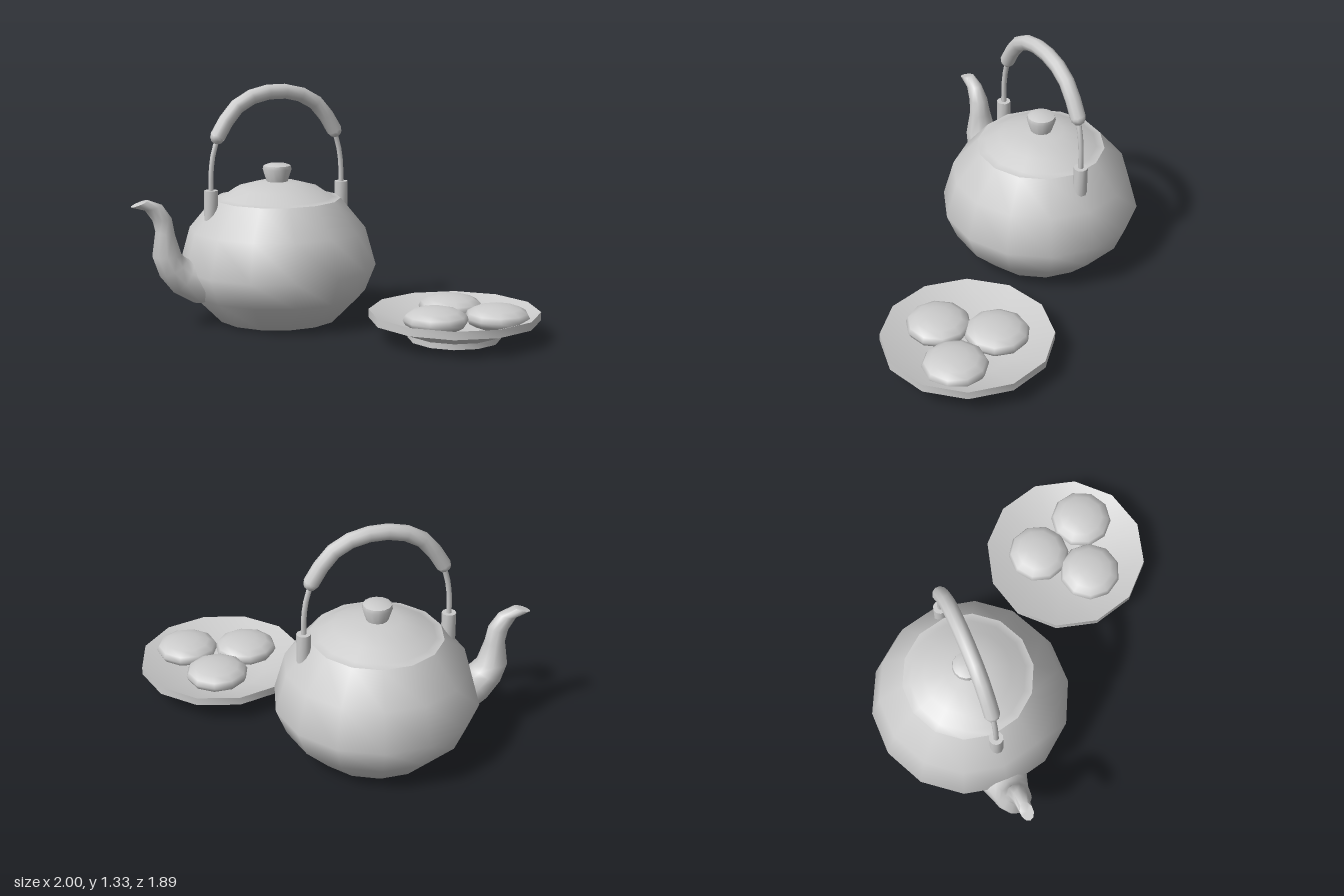
import * as THREE from 'three';
import { toCreasedNormals } from 'three/addons/utils/BufferGeometryUtils.js';

const material = new THREE.MeshStandardMaterial({ color: 0xcccccc, side: THREE.DoubleSide });

function add(parent, name, geometry, x = 0, y = 0, z = 0) {
  const mesh = new THREE.Mesh(geometry, material);
  mesh.name = name;
  mesh.position.set(x, y, z);
  parent.add(mesh);
  return mesh;
}

// Turned part from [radius, height] pairs, with a corner on the x axis
function turned(profile, sides) {
  return new THREE.LatheGeometry(profile.map(([r, y]) => new THREE.Vector2(r, y)), sides, Math.PI / 2);
}

function tube(points, segments, radius, sides) {
  const curve = new THREE.CatmullRomCurve3(points.map(([x, y]) => new THREE.Vector3(x, y, 0)));
  return new THREE.TubeGeometry(curve, segments, radius, sides);
}

// Loft of elliptical rings; each section is [outer x, y, inner x, y, half depth]
function loft(sections, sides) {
  const positions = [], indices = [];
  for (const [ax, ay, bx, by, w] of sections) {
    for (let j = 0; j < sides; j++) {
      const t = (j / sides) * Math.PI * 2, c = Math.cos(t) / 2;
      positions.push((ax + bx) / 2 + (bx - ax) * c, (ay + by) / 2 + (by - ay) * c, w * Math.sin(t));
    }
  }
  for (let i = 0; i < sections.length - 1; i++) {
    for (let j = 0; j < sides; j++) {
      const k = (j + 1) % sides;
      const a = i * sides + j, b = i * sides + k, c = a + sides, d = b + sides;
      indices.push(a, c, b, b, c, d);
    }
  }
  const geometry = new THREE.BufferGeometry();
  geometry.setAttribute('position', new THREE.Float32BufferAttribute(positions, 3));
  geometry.setIndex(indices);
  return toCreasedNormals(geometry, 1);
}

function createTeapot() {
  const pot = new THREE.Group();
  pot.name = 'teapot';
  pot.position.set(-0.13, 0, -0.4);

  add(pot, 'body', turned([[0, 0], [0.345, 0], [0.5, 0.155], [0.56, 0.305], [0.5, 0.52], [0.36, 0.69]], 14));
  add(pot, 'lid', turned([[0.36, 0.69], [0.315, 0.697], [0.24, 0.748], [0.125, 0.78], [0, 0.79]], 14));
  add(pot, 'lidKnob', toCreasedNormals(
    turned([[0.055, 0.77], [0.082, 0.855], [0.077, 0.875], [0.05, 0.885], [0, 0.887]], 14), 0.8));

  // Curved spout, from the root inside the body to the closed lip
  add(pot, 'spout', loft([
    [-0.58, 0.12, -0.54, 0.38, 0.15],
    [-0.64, 0.13, -0.61, 0.38, 0.14],
    [-0.76, 0.2, -0.65, 0.375, 0.11],
    [-0.84, 0.3, -0.685, 0.39, 0.1],
    [-0.88, 0.41, -0.712, 0.415, 0.088],
    [-0.86, 0.55, -0.75, 0.53, 0.062],
    [-0.877, 0.615, -0.765, 0.62, 0.053],
    [-0.92, 0.675, -0.82, 0.7, 0.042],
    [-1.0, 0.698, -0.902, 0.733, 0.036],
    [-0.951, 0.7155, -0.951, 0.7155, 0],
  ], 10), 0.13);

  // Arched grip with rounded ends
  const half = [[-0.36, 1.055], [-0.305, 1.145], [-0.234, 1.225], [-0.127, 1.278]];
  const mirrored = half.map(([x, y]) => [-x, y]).reverse();
  const handle = new THREE.Group();
  handle.name = 'handle';
  pot.add(handle);
  add(handle, 'grip', tube([...half, [0, 1.295], ...mirrored], 9, 0.043, 10));

  // Lug, wire and grip end on each side
  for (const side of [-1, 1]) {
    add(handle, 'gripEnd', new THREE.SphereGeometry(0.043, 10, 6), side * 0.36, 1.055).scale.setScalar(0.95);
    add(handle, 'wire', tube([[0.4, 0.7], [0.402, 0.8], [0.396, 0.9], [0.38, 0.985], [0.35, 1.07]]
      .map(([x, y]) => [side * x, y]), 6, 0.015, 8));
    add(handle, 'lug', toCreasedNormals(new THREE.CylinderGeometry(0.039, 0.039, 0.175, 10), 0.8),
      side * 0.402, 0.672);
  }
  return pot;
}

function createPlate() {
  const plate = new THREE.Group();
  plate.name = 'plateWithBuns';
  plate.position.set(0.533, 0, 0.473);

  add(plate, 'plate', toCreasedNormals(turned([
    [0, 0], [0.253, 0], [0.253, 0.032], [0.467, 0.11], [0.467, 0.155], [0.25, 0.08], [0, 0.07],
  ], 12), 0.6));

  // Three flattened buns
  const buns = [[0.06, -0.148, 0], [-0.163, 0.085, 0.25], [0.167, 0.172, 0.5]];
  for (const [x, z, turn] of buns) {
    const bun = add(plate, 'bun', new THREE.SphereGeometry(0.178, 10, 8), x, 0.14, z);
    bun.scale.y = 0.39;
    bun.rotation.y = turn;
  }
  return plate;
}

export function createModel() {
  const model = new THREE.Group();
  model.name = 'teaSet';
  model.add(createTeapot(), createPlate());
  return model;
}
